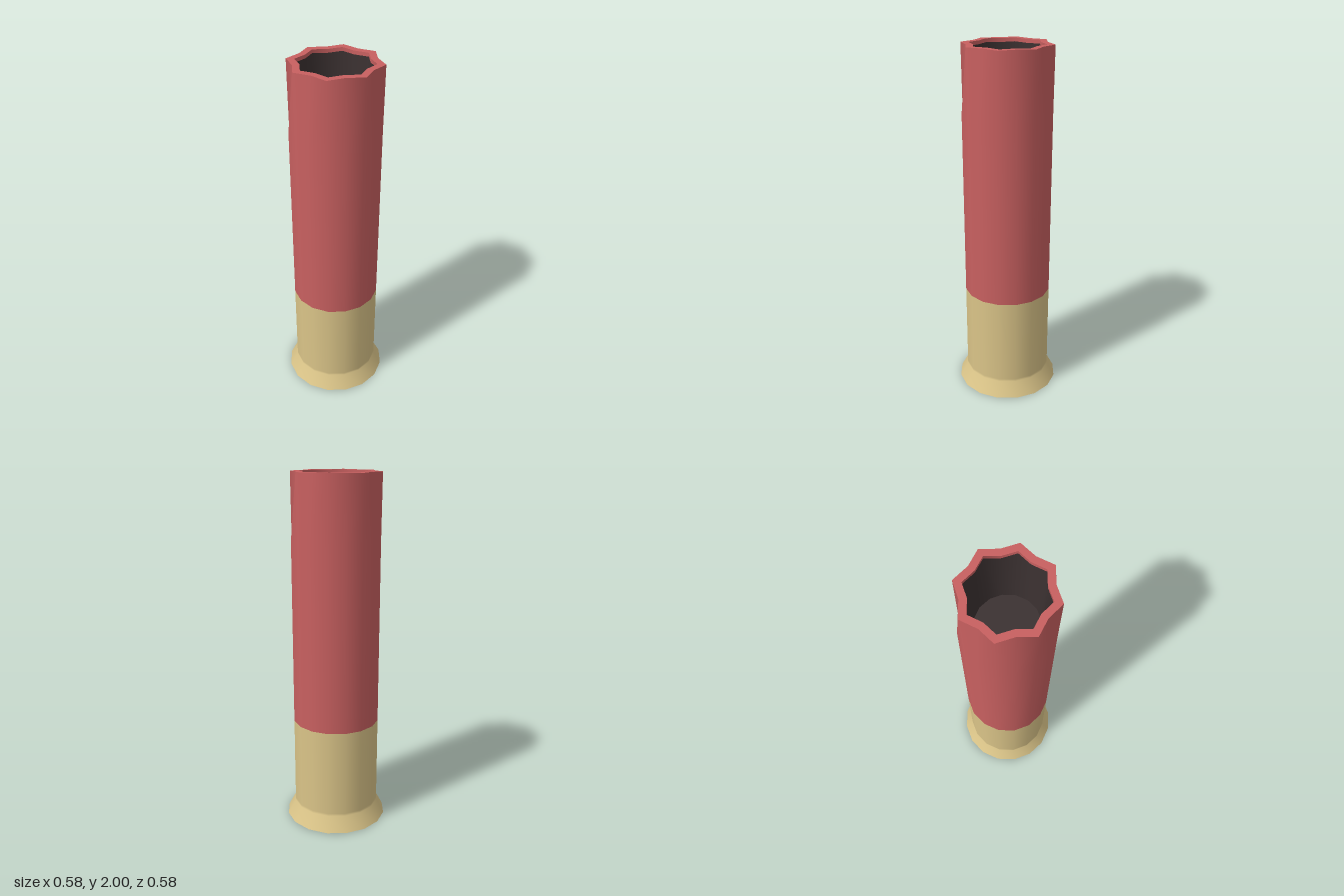
import * as THREE from 'three';

const SIDES = 16;
const HEIGHT = 2;
const BODY_R = 0.246;
const FOLD_Y = 1.64;
const BRASS_Y = 0.6;

const material = (name, color, side = THREE.FrontSide) => {
  const m = new THREE.MeshStandardMaterial({ color, side });
  m.name = name;
  return m;
};

// Radius at the crimped mouth: odd corners stay out, even corners fold in.
const outerStar = (i) => (i % 2 ? 0.249 : 0.215);
const innerStar = (i) => (i % 2 ? 0.206 : 0.178);

// Open tube whose rings follow a radius rule; the round normals are kept.
function tube(y0, y1, bottomRadius, topRadius) {
  const g = new THREE.CylinderGeometry(1, 1, y1 - y0, SIDES, 1, true);
  g.translate(0, (y0 + y1) / 2, 0);
  const p = g.attributes.position;
  const middle = (y0 + y1) / 2;
  for (let v = 0; v < p.count; v++) {
    const i = v % (SIDES + 1);
    const r = p.getY(v) > middle ? topRadius(i) : bottomRadius(i);
    p.setX(v, p.getX(v) * r);
    p.setZ(v, p.getZ(v) * r);
  }
  return g;
}

const starPoints = (radius) => Array.from({ length: SIDES }, (_, i) => {
  const a = (i / SIDES) * Math.PI * 2;
  return new THREE.Vector2(Math.cos(a) * radius(i), Math.sin(a) * radius(i));
});

export function createModel() {
  const group = new THREE.Group();
  group.name = 'cartridge';
  const red = material('red casing', 0xc86060, THREE.DoubleSide);
  const brass = material('brass', 0xdac488);
  const dark = material('dark interior', 0x3c3232, THREE.DoubleSide);
  const grey = material('primer grey', 0xa09c94);

  const add = (name, geometry, mat) => {
    const mesh = new THREE.Mesh(geometry, mat);
    mesh.name = name;
    group.add(mesh);
    return mesh;
  };
  const round = (r) => () => r;

  // Brass head with flared rim
  const profile = [[0.291, 0], [BODY_R, 0.085], [BODY_R, 0.1], [BODY_R, BRASS_Y]]
    .map(([r, y]) => new THREE.Vector2(r, y));
  add('brassHead', new THREE.LatheGeometry(profile, SIDES), brass);

  // Underside: flat base, primer ring and primer centre
  const underside = (name, inner, outer, mat) => {
    const g = inner > 0
      ? new THREE.RingGeometry(inner, outer, SIDES)
      : new THREE.CircleGeometry(outer, SIDES);
    add(name, g.rotateX(Math.PI / 2), mat);
  };
  underside('base', 0.095, 0.291, brass);
  underside('primerRing', 0.06, 0.095, grey);
  underside('primerCentre', 0, 0.06, brass);

  // Red casing: straight wall, then the folded mouth
  add('casing', tube(BRASS_Y, FOLD_Y, round(BODY_R), round(BODY_R)), red);
  add('crimp', tube(FOLD_Y, HEIGHT, round(BODY_R), outerStar), red);

  // Star-shaped lip
  const lip = new THREE.Shape(starPoints(outerStar));
  lip.holes.push(new THREE.Path(starPoints(innerStar)));
  const lipGeometry = new THREE.ShapeGeometry(lip).rotateX(-Math.PI / 2);
  lipGeometry.translate(0, HEIGHT, 0);
  add('lip', lipGeometry, red);
  add('lipInside', tube(HEIGHT - 0.02, HEIGHT, innerStar, innerStar), red);

  // Dark hollow closing to a round floor
  add('hollow', tube(FOLD_Y, HEIGHT - 0.02, round(0.167), innerStar), dark);
  const floor = new THREE.CircleGeometry(0.167, SIDES).rotateX(-Math.PI / 2);
  floor.translate(0, FOLD_Y, 0);
  add('hollowFloor', floor, dark);

  return group;
}
